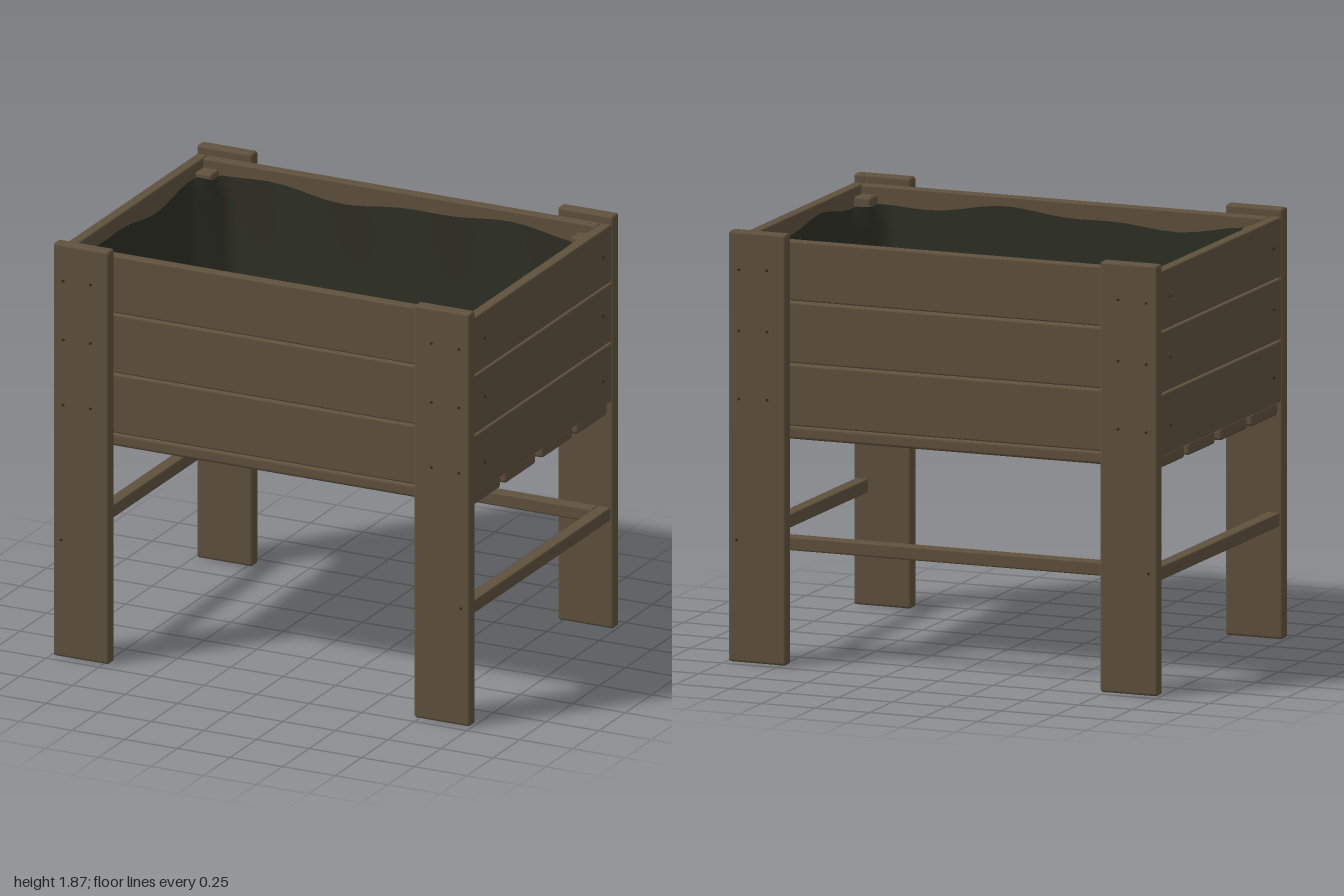
import * as THREE from 'three';
import { RoundedBoxGeometry } from 'three/addons/geometries/RoundedBoxGeometry.js';

const wood = new THREE.MeshStandardMaterial({ color: 0x5f513d });
wood.name = 'weathered wood';
const fabric = new THREE.MeshStandardMaterial({ color: 0x2e2f25, side: THREE.DoubleSide });
fabric.name = 'dark liner fabric';
const steel = new THREE.MeshStandardMaterial({ color: 0x32291e });
steel.name = 'dark screw';

// Softly rounded timber given by its lower and upper corners
function timber(name, [x0, y0, z0], [x1, y1, z1], radius = 0.008) {
  const mesh = new THREE.Mesh(new RoundedBoxGeometry(x1 - x0, y1 - y0, z1 - z0, 2, radius), wood);
  mesh.position.set((x0 + x1) / 2, (y0 + y1) / 2, (z0 + z1) / 2);
  mesh.name = name;
  return mesh;
}

// Screw head facing along x or z
function screw(x, y, z, alongX) {
  const mesh = new THREE.Mesh(new THREE.CylinderGeometry(0.006, 0.006, 0.012, 8), steel);
  if (alongX) mesh.rotation.z = Math.PI / 2;
  else mesh.rotation.x = Math.PI / 2;
  mesh.position.set(x, y, z);
  mesh.name = 'screw';
  return mesh;
}

// Draped fabric: loops of a rectangle notched round the corner posts
function makeLiner() {
  const quarter = [[0.92, 0], [0.92, 0.51], [0.845, 0.51], [0.845, 0.585], [0, 0.585]];
  const corners = [];
  for (let q = 0; q < 4; q++) {
    const sx = q === 0 || q === 3 ? 1 : -1, sz = q < 2 ? 1 : -1;
    const pts = quarter.map(([x, z]) => [x * sx, z * sz]);
    if (q % 2) pts.reverse();
    corners.push(...pts.slice(0, -1));
  }
  const outline = [];
  corners.forEach((a, i) => {
    const b = corners[(i + 1) % corners.length];
    const n = Math.ceil(Math.hypot(b[0] - a[0], b[1] - a[1]) / 0.08);
    for (let k = 0; k < n; k++) outline.push([a[0] + (b[0] - a[0]) * k / n, a[1] + (b[1] - a[1]) * k / n]);
  });
  const n = outline.length, levels = 7, pos = [], index = [];
  for (let l = 0; l <= levels; l++) {
    const t = l / levels;
    outline.forEach(([x, z], i) => {
      const s = i / n * Math.PI * 2;
      const ripple = 0.006 * (1 + Math.sin(s * 13 + t * 3)) * Math.sin(Math.PI * t);
      const shrink = 1 - 0.035 * (1 - t) ** 3 - ripple;
      const top = 1.765 + 0.018 * Math.sin(s * 5 + 1) + 0.01 * Math.sin(s * 11);
      pos.push(x * shrink, 1.04 + (top - 1.04) * t, z * shrink);
    });
  }
  for (let l = 0; l < levels; l++) for (let i = 0; i < n; i++) {
    const a = l * n + i, b = l * n + (i + 1) % n;
    index.push(a, b, a + n, b, b + n, a + n);
  }
  // Separate floor ring keeps a crisp fold at the bottom
  const base = pos.length / 3;
  pos.push(...pos.slice(0, n * 3), 0, 1.035, 0);
  for (let i = 0; i < n; i++) index.push(base + n, base + (i + 1) % n, base + i);
  const geo = new THREE.BufferGeometry();
  geo.setAttribute('position', new THREE.Float32BufferAttribute(pos, 3));
  geo.setIndex(index);
  geo.computeVertexNormals();
  const mesh = new THREE.Mesh(geo, fabric);
  mesh.name = 'liner';
  return mesh;
}

export function createModel() {
  const model = new THREE.Group();
  model.name = 'raised planter';

  // Three courses of boards round the box
  for (const [y0, y1] of [[1.03, 1.295], [1.302, 1.565], [1.572, 1.83]]) {
    model.add(
      timber('frontBoard', [-0.935, y0, 0.6], [0.935, y1, 0.65]),
      timber('backBoard', [-0.935, y0, -0.65], [0.935, y1, -0.6]),
      timber('leftBoard', [0.935, y0, -0.65], [0.985, y1, 0.65]),
      timber('rightBoard', [-0.985, y0, -0.65], [-0.935, y1, 0.65])
    );
  }

  // Legs, inner corner posts and screws
  for (const sx of [-1, 1]) for (const sz of [-1, 1]) {
    const leg = timber('leg', [-0.1325, 0, -0.029], [0.1325, 1.865, 0.029], 0.012);
    leg.position.x = sx * 0.8575;
    leg.position.z = sz * 0.679;
    const post = timber('cornerPost', [-0.04, 1.03, -0.04], [0.04, 1.795, 0.04], 0.012);
    post.position.x = sx * 0.893;
    post.position.z = sz * 0.558;
    model.add(leg, post);
    for (const y of [1.14, 1.435, 1.7]) {
      model.add(
        screw(sx * 0.94, y, sz * 0.707, false),
        screw(sx * 0.81, y + 0.005, sz * 0.707, false),
        screw(sx * 0.985, y + 0.01, sz * 0.56, true)
      );
    }
    model.add(screw(sx * 0.95, 0.53, sz * 0.707, false));
  }

  // Floor slats
  for (const z of [0.51, 0.18, -0.17, -0.5]) {
    model.add(timber('floorSlat', [-0.97, 0.97, z - 0.14], [0.97, 1.027, z + 0.14], 0.014));
  }

  // Lower rails: one at each end and one along the back
  model.add(
    timber('endRail', [0.92, 0.49, -0.65], [0.98, 0.55, 0.65]),
    timber('endRail', [-0.98, 0.49, -0.65], [-0.92, 0.55, 0.65]),
    timber('backRail', [-0.92, 0.49, -0.65], [0.92, 0.55, -0.59])
  );

  model.add(makeLiner());
  return model;
}
